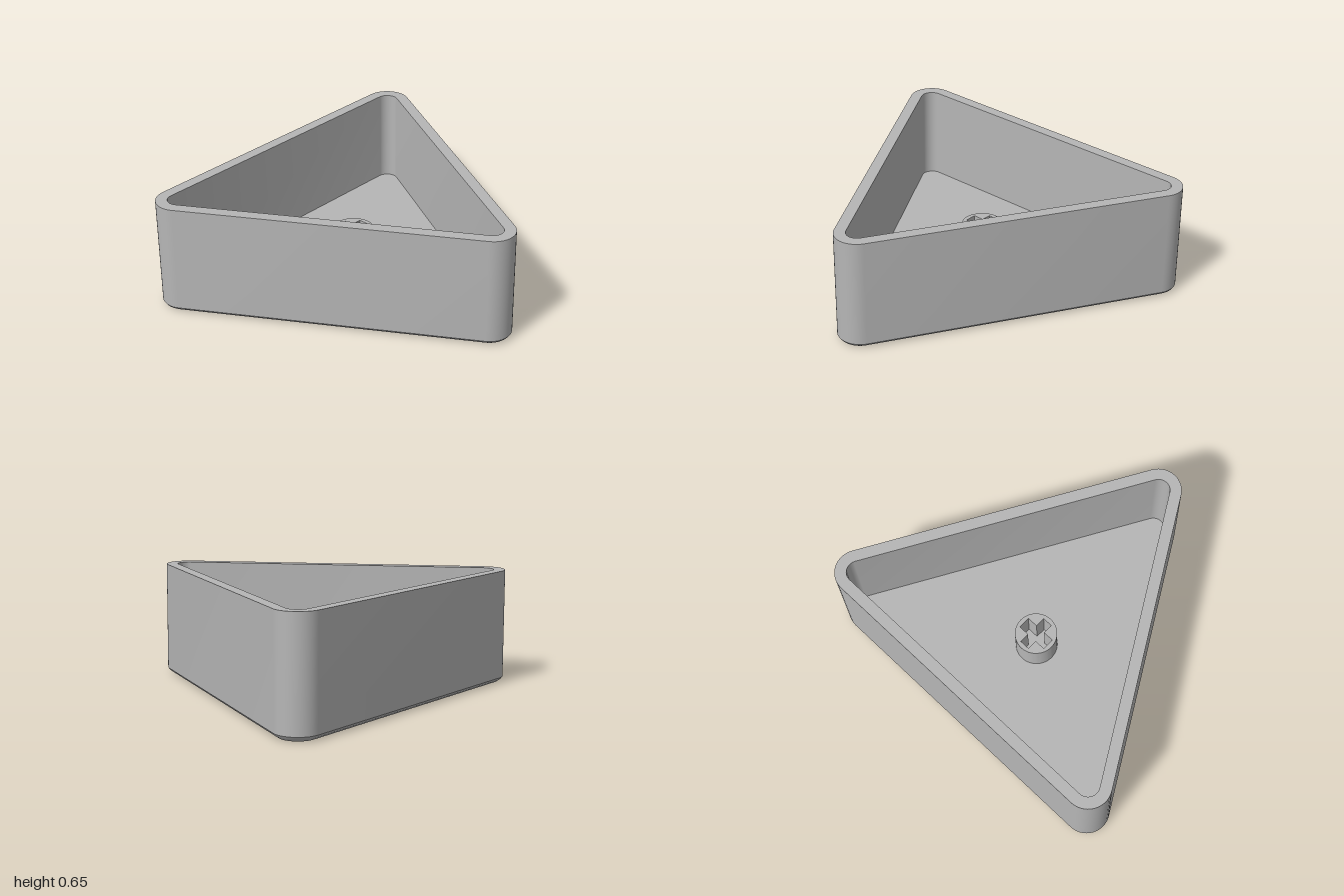
import * as THREE from 'three';
import { toCreasedNormals } from 'three/addons/utils/BufferGeometryUtils.js';

const R = 0.13;            // outer corner radius
const FLOOR = 0.1;         // inside floor height
const CORNERS = [[0, 0.753, 30], [-0.87, -0.753, 150], [0.87, -0.753, 270]]; // x, z, arc start

// Rounded triangle in x/z, shrunk by an inset
function outline(inset) {
  const points = [], steps = 14;
  for (const [x, z, start] of CORNERS) {
    for (let i = 0; i <= steps; i++) {
      const t = THREE.MathUtils.degToRad(start + 120 * i / steps);
      points.push(new THREE.Vector2(x + (R - inset) * Math.cos(t), z + (R - inset) * Math.sin(t)));
    }
  }
  return points;
}

// Sweep an (inset, height) profile round the triangle
function loft(profile) {
  const rings = profile.map(([inset, y]) => outline(inset).map(p => [p.x, y, p.y]));
  const positions = [];
  for (let k = 0; k < rings.length - 1; k++) {
    const a = rings[k], b = rings[k + 1], n = a.length;
    for (let i = 0; i < n; i++) {
      const j = (i + 1) % n;
      positions.push(...a[i], ...b[i], ...a[j], ...a[j], ...b[i], ...b[j]);
    }
  }
  const geometry = new THREE.BufferGeometry();
  geometry.setAttribute('position', new THREE.Float32BufferAttribute(positions, 3));
  return toCreasedNormals(geometry, 0.3);
}

// Flat triangle facing up or down
function cap(inset, y, up) {
  const points = outline(inset).map(p => new THREE.Vector2(p.x, up ? -p.y : p.y));
  return new THREE.ShapeGeometry(new THREE.Shape(points))
    .rotateX(up ? -Math.PI / 2 : Math.PI / 2).translate(0, y, 0);
}

export function createModel() {
  const group = new THREE.Group();
  const grey = new THREE.MeshStandardMaterial({ color: 0xb6b6b6 });
  grey.name = 'grey';
  const add = (name, geometry) => {
    const mesh = new THREE.Mesh(geometry, grey);
    mesh.name = name;
    group.add(mesh);
  };

  // Bevelled foot, outer wall, rim and inner wall
  add('walls', loft([[0.03, 0], [0.01, 0.014], [0, 0.028], [0, 0.655], [0.066, 0.655], [0.066, FLOOR]]));
  add('underside', cap(0.03, 0, false));
  add('floor', cap(0.066, FLOOR, true));

  // Round post with a cross-shaped socket
  const post = new THREE.Shape().absarc(0, 0, 0.12, 0, Math.PI * 2, false);
  const L = 0.094, w = 0.03, h = 0.035;
  const cross = [[w, h], [w, L], [-w, L], [-w, h], [-L, h], [-L, -h],
    [-w, -h], [-w, -L], [w, -L], [w, -h], [L, -h], [L, h]];
  post.holes.push(new THREE.Path(cross.map(([x, y]) => new THREE.Vector2(x, y))));
  const postGeometry = new THREE.ExtrudeGeometry(post, { depth: 0.19, bevelEnabled: false, curveSegments: 40 });
  postGeometry.rotateX(-Math.PI / 2).translate(0, FLOOR, -0.251);
  add('socketPost', toCreasedNormals(postGeometry, 0.5));

  return group;
}
